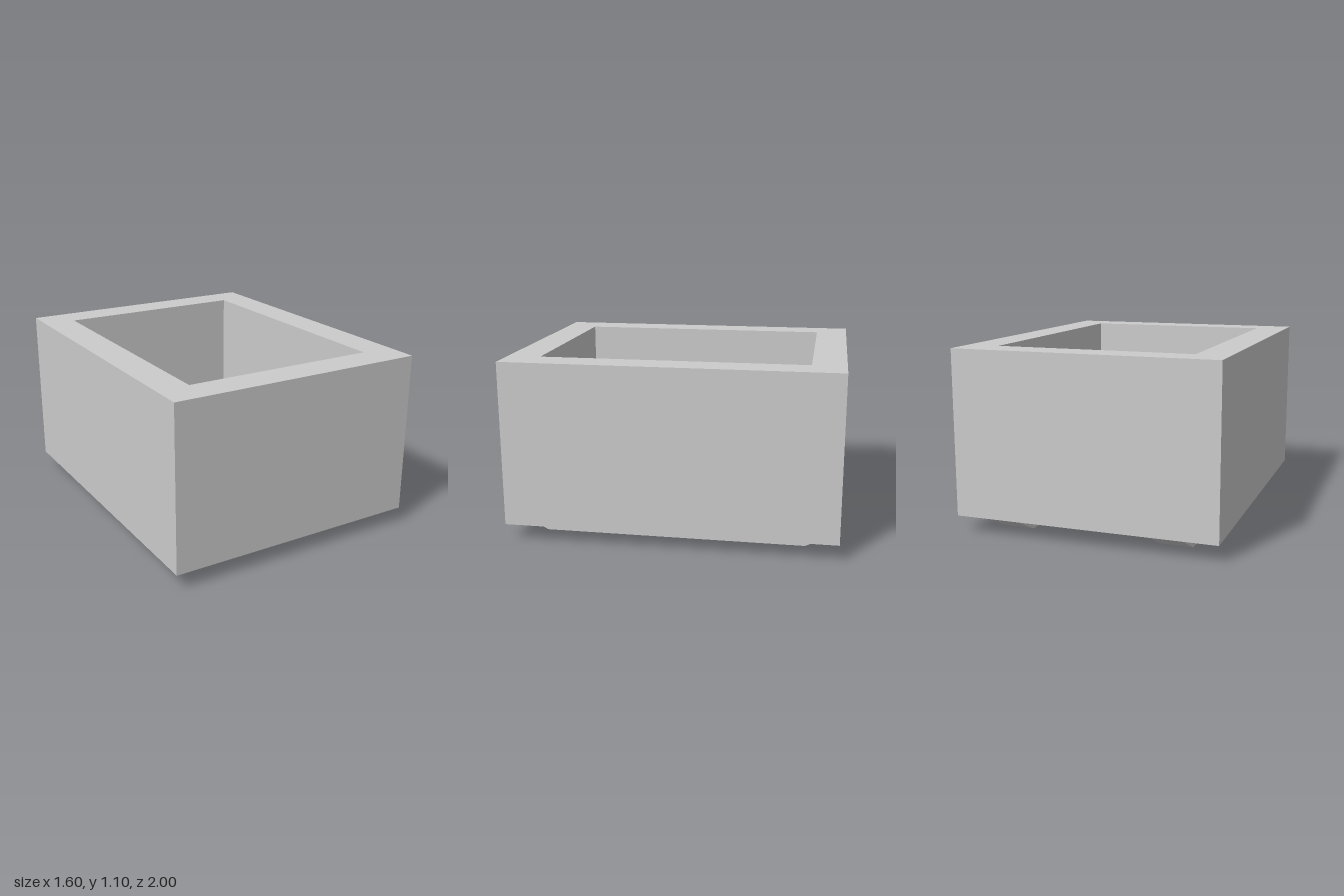
import * as THREE from 'three';

const material = new THREE.MeshStandardMaterial({ color: 0xcccccc, flatShading: true });

// Rectangular ring of corners, counter-clockwise seen from above
const ring = (hx, hz, y) => [[hx, y, hz], [hx, y, -hz], [-hx, y, -hz], [-hx, y, hz]];

// Open-topped box as one closed skin: outer wall, rim, inner wall, then floor and underside
function openBoxGeometry() {
  const rings = [
    ring(0.8, 1, 0.1),
    ring(0.8, 1, 1.1),
    ring(0.6, 0.8, 1.1),
    ring(0.6, 0.8, 0.3),
  ];
  const positions = [];
  const quad = (a, b, c, d) => positions.push(...a, ...b, ...c, ...a, ...c, ...d);
  for (let i = 0; i < rings.length - 1; i++) {
    for (let j = 0; j < 4; j++) {
      const k = (j + 1) % 4;
      quad(rings[i][j], rings[i][k], rings[i + 1][k], rings[i + 1][j]);
    }
  }
  quad(...rings[3]);
  quad(...[...rings[0]].reverse());
  const geometry = new THREE.BufferGeometry();
  geometry.setAttribute('position', new THREE.Float32BufferAttribute(positions, 3));
  geometry.computeVertexNormals();
  return geometry;
}

// Skid with sloped ends, running front to back
function runnerGeometry() {
  const profile = new THREE.Shape([
    new THREE.Vector2(-0.8, 0),
    new THREE.Vector2(0.8, 0),
    new THREE.Vector2(1, 0.1),
    new THREE.Vector2(-1, 0.1),
  ]);
  return new THREE.ExtrudeGeometry(profile, { depth: 0.2, bevelEnabled: false })
    .translate(0, 0, -0.1)
    .rotateY(-Math.PI / 2);
}

export function createModel() {
  const model = new THREE.Group();
  model.name = 'openBoxOnRunners';

  const box = new THREE.Mesh(openBoxGeometry(), material);
  box.name = 'openBox';
  model.add(box);

  // Matching runners under each side
  const geometry = runnerGeometry();
  for (const side of [-1, 1]) {
    const runner = new THREE.Mesh(geometry, material);
    runner.name = side > 0 ? 'leftRunner' : 'rightRunner';
    runner.position.x = side * 0.5;
    model.add(runner);
  }
  return model;
}
